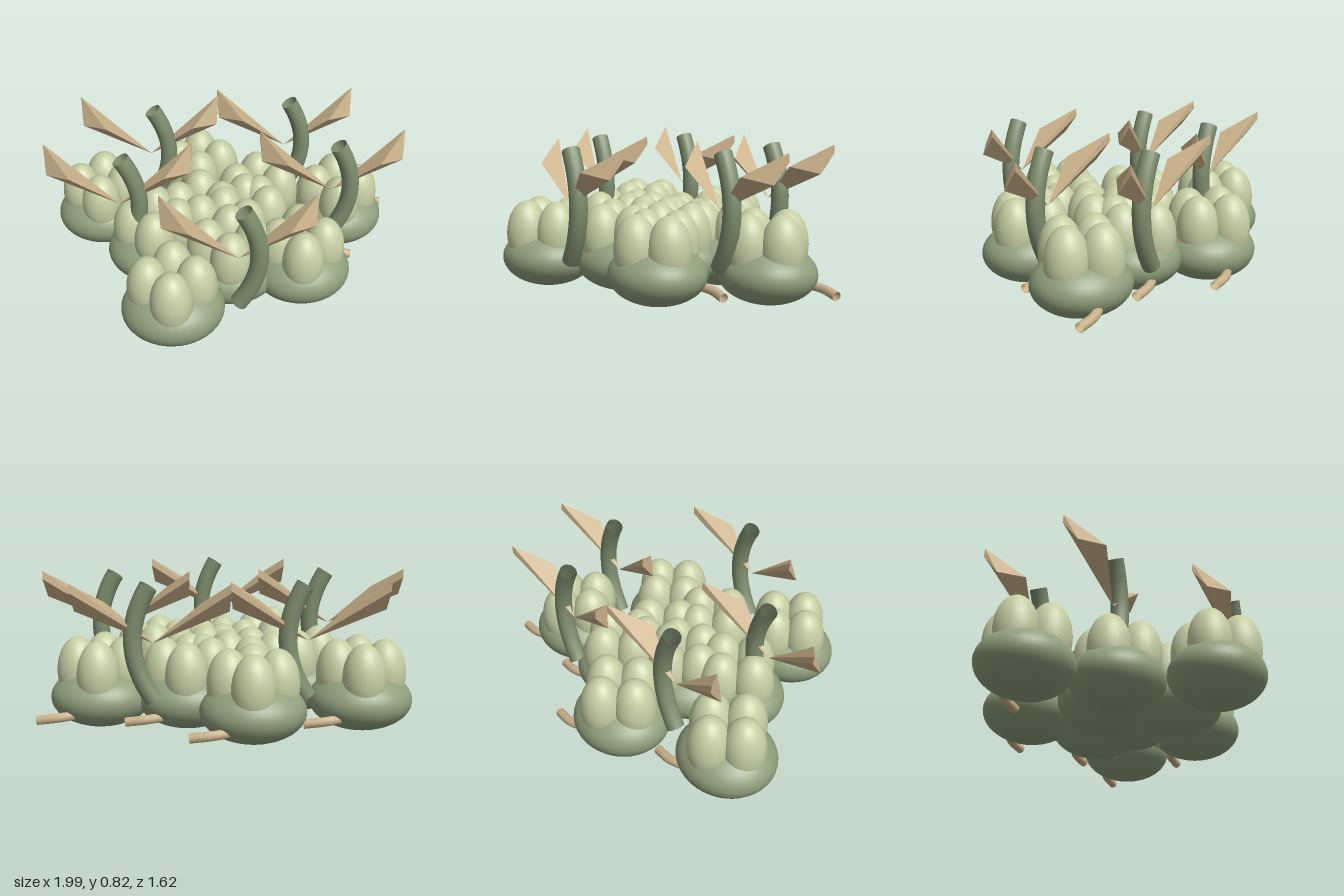
import * as THREE from 'three';

const paint = (name, color, extra = {}) => {
  const m = new THREE.MeshStandardMaterial({ color, ...extra });
  m.name = name;
  return m;
};

export function createModel() {
  const mats = {
    base: paint('sage green', 0x8f9f7c),
    lobe: paint('pale green', 0xc6cea4),
    stem: paint('dark sage', 0x7d8d6e, { side: THREE.DoubleSide }),
    tan: paint('dry tan', 0xc9b18a, { side: THREE.DoubleSide }),
    leaf: paint('dry tan leaf', 0xc9b18a, { side: THREE.DoubleSide, flatShading: true }),
  };
  const add = (parent, name, geo, mat, x = 0, y = 0, z = 0) => {
    const mesh = new THREE.Mesh(geo, mat);
    mesh.name = name;
    mesh.position.set(x, y, z);
    parent.add(mesh);
    return mesh;
  };
  const v = (x, y, z) => new THREE.Vector3(x, y, z);
  const model = new THREE.Group();
  model.name = 'succulentCluster';

  // Shared shapes
  const baseGeo = new THREE.SphereGeometry(1, 40, 24).scale(0.275, 0.16, 0.255);
  const lobeGeo = new THREE.SphereGeometry(1, 28, 20).scale(0.113, 0.187, 0.115);
  const rootGeo = new THREE.TubeGeometry(new THREE.CatmullRomCurve3([
    v(0.03, 0.12, -0.09), v(0.1, 0.105, -0.165), v(0.2, 0.095, -0.205), v(0.315, 0.08, -0.2),
  ]), 16, 0.025, 10);
  const stemGeo = new THREE.TubeGeometry(new THREE.QuadraticBezierCurve3(
    v(0, 0.2, 0), v(0.2, 0.49, 0), v(0.02, 0.79, 0)), 20, 0.048, 16);

  // Folded leaf: narrow at the stem, opening to a creased end
  const leafGeo = (side) => {
    const o = [0, 0.5, 0], a = [0.4, 0.82, -0.115], b = [0.25, 0.7, 0.055],
      c = [0.39, 0.67, -0.04], d = [0.4, 0.775, -0.118];
    const pts = [o, b, a, o, c, b, o, d, c, o, a, d, a, b, c, a, c, d]
      .flatMap(([x, y, z]) => [x * side, y, z]);
    const g = new THREE.BufferGeometry();
    g.setAttribute('position', new THREE.Float32BufferAttribute(pts, 3));
    g.computeVertexNormals();
    return g;
  };
  const leaves = [['leftLeaf', leafGeo(1)], ['rightLeaf', leafGeo(-1)]];

  // Four-lobed pods, each with a short root
  const pods = [
    [-0.145, -0.555], [-0.72, -0.315], [0.665, -0.265], [-0.395, 0.05], [0.02, 0.24],
    [0.41, 0.245], [0.2, -0.29], [-0.29, 0.55], [-0.14, -0.11], [0.12, -0.06],
  ];
  for (const [x, z] of pods) {
    const pod = new THREE.Group();
    pod.name = 'pod';
    pod.position.set(x, 0, z);
    add(pod, 'podBase', baseGeo, mats.base, 0, 0.163, 0);
    for (let i = 0; i < 4; i++) {
      const t = i * Math.PI / 2;
      add(pod, 'lobe', lobeGeo, mats.lobe, 0.125 * Math.cos(t), 0.3, 0.125 * Math.sin(t));
    }
    add(pod, 'root', rootGeo, mats.tan);
    model.add(pod);
  }

  // Bent stems, each with a pair of leaves
  const stems = [[-0.58, 0.09], [-0.43, -0.415], [0.055, 0.57], [0.365, -0.49], [0.595, -0.015]];
  for (const [x, z] of stems) {
    const sprout = new THREE.Group();
    sprout.name = 'sprout';
    sprout.position.set(x, 0, z);
    add(sprout, 'stem', stemGeo, mats.stem);
    for (const [name, geo] of leaves) add(sprout, name, geo, mats.leaf);
    model.add(sprout);
  }
  return model;
}
